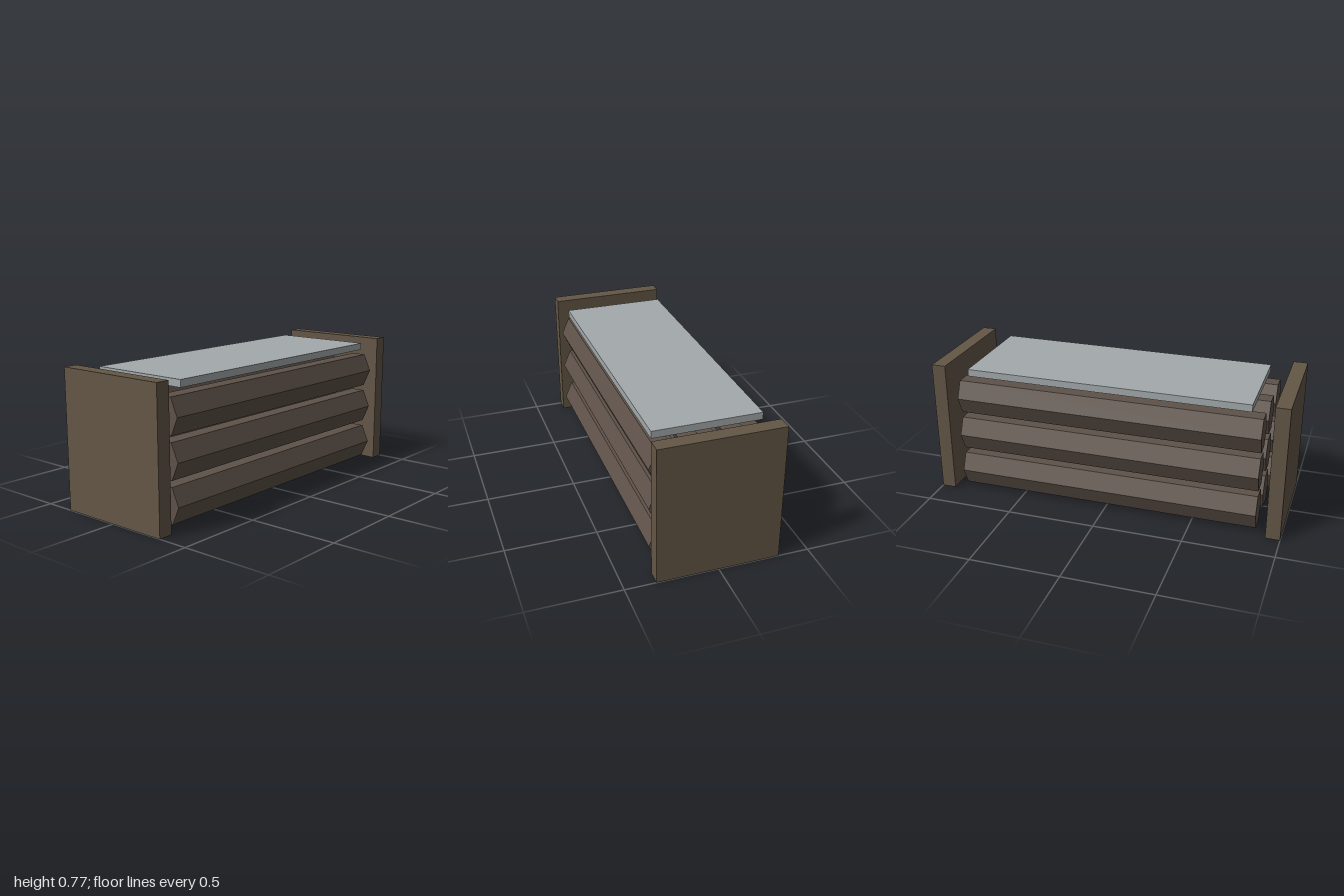
import * as THREE from 'three';

const material = (color) => new THREE.MeshStandardMaterial({ color, flatShading: true });

function box(name, size, position, mat) {
  const mesh = new THREE.Mesh(new THREE.BoxGeometry(...size), mat);
  mesh.name = name;
  mesh.position.set(...position);
  return mesh;
}

export function createModel() {
  const model = new THREE.Group();
  model.name = 'logStack';
  const plank = material(0x635646);
  const bark = material(0x5e5249);
  const slate = material(0xa3a9ab);

  // Upright end boards
  for (const side of [-1, 1]) {
    const name = side > 0 ? 'leftEndBoard' : 'rightEndBoard';
    model.add(box(name, [0.08, 0.767, 0.666], [side * 0.96, 0.3835, 0], plank));
  }

  // Six-sided logs lying along x, slightly taller than deep, corners facing front and back
  const logGeometry = new THREE.CylinderGeometry(0.086, 0.086, 1.72, 6);
  logGeometry.rotateZ(Math.PI / 2);
  logGeometry.scale(1, 1.3, 1);
  const logs = new THREE.Group();
  logs.name = 'logs';
  for (let row = 0; row < 3; row++) {
    for (let column = -1; column <= 1; column++) {
      const log = new THREE.Mesh(logGeometry, bark);
      log.name = 'log';
      log.position.set(0, 0.12 + row * 0.2267, column * 0.24);
      logs.add(log);
    }
  }
  model.add(logs);

  // Thin cover slab floating just above the logs
  model.add(box('coverSlab', [1.6, 0.04, 0.587], [0, 0.728, 0], slate));

  return model;
}
